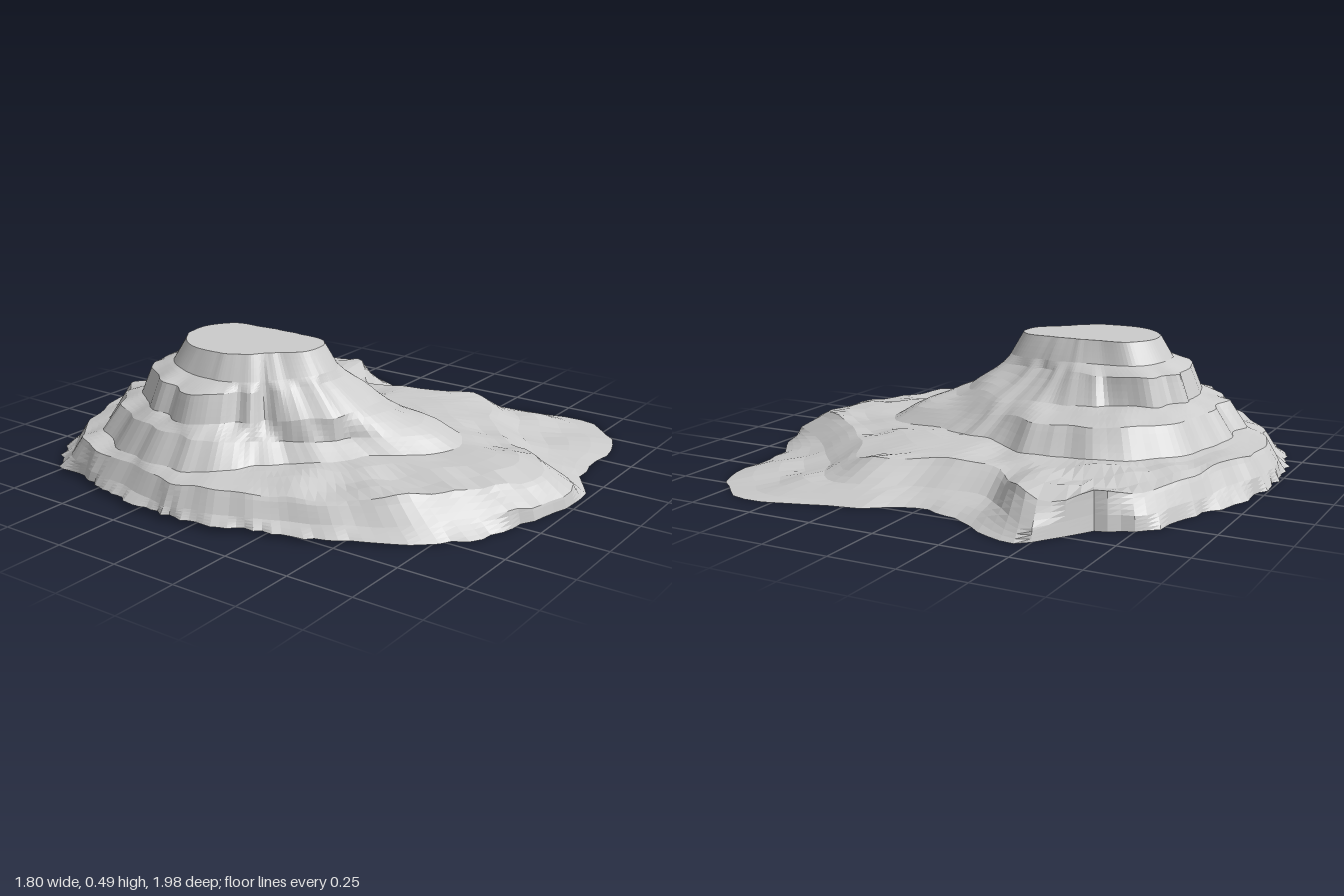
import * as THREE from 'three';

const { lerp, smoothstep } = THREE.MathUtils;
const CX = -0.27, CZ = -0.2; // axis of the hill
const SPOKES = 144, ROWS = 4;

// Edges from the ragged foot up to the summit rim: height, and distance from the
// axis at even angles from +x towards +z. "run" is how far the cliff below the
// edge reaches out, "lean" adds to it at the front left, "base" is the height
// where it starts, "south" a drop on that side and "west" a rise on that side.
const edges = [
  { y: 0, west: 0.02, jag: 0.013, radii: [1.03, 1.0, 1.19, 1.42, 1.42, 1.24, 1.24, 1.14, 1.08, 0.97, 0.83, 0.76, 0.68, 0.665,
    0.64, 0.625, 0.62, 0.63, 0.66, 0.74, 0.76, 0.77, 0.785, 0.795, 0.82, 0.86, 0.9, 1.01, 1.02, 1.17] },
  { y: 0.12, jag: 0.018, run: 0.045, lean: 0.08, base: 0.05, radii: [0.76, 0.8, 1.0, 0.92, 0.93, 1.1, 0.97, 0.85, 0.71, 0.63,
    0.59, 0.575, 0.56, 0.55, 0.585, 0.64, 0.68, 0.69, 0.715, 0.745, 0.765, 0.84, 0.97, 1.05] },
  { y: 0.24, jag: 0.025, run: 0.07, lean: 0.02, base: 0.14, south: 0.05,
    radii: [0.5, 0.46, 0.52, 0.7, 0.48, 0.37, 0.34, 0.41, 0.45, 0.46, 0.495, 0.525, 0.53, 0.55, 0.585, 0.555] },
  { y: 0.37, jag: 0.02, run: 0.04, lean: 0.1, base: 0.27,
    radii: [0.23, 0.25, 0.33, 0.33, 0.26, 0.28, 0.35, 0.36, 0.39, 0.41, 0.41, 0.3] },
  { y: 0.485, jag: 0.004, run: 0.05, lean: 0, base: 0.4,
    radii: [0.16, 0.18, 0.26, 0.26, 0.195, 0.2, 0.215, 0.235, 0.26, 0.28, 0.26, 0.18] },
];

// Smooth value noise on a hashed lattice, from -1 to 1
function hash(i, j) {
  const s = Math.sin(i * 127.1 + j * 311.7) * 43758.5453;
  return (s - Math.floor(s)) * 2 - 1;
}
function noise(x, z) {
  const i = Math.floor(x), j = Math.floor(z);
  const u = smoothstep(x - i, 0, 1), v = smoothstep(z - j, 0, 1);
  return lerp(lerp(hash(i, j), hash(i + 1, j), u), lerp(hash(i, j + 1), hash(i + 1, j + 1), u), v);
}

const angleOf = (s) => (s / SPOKES) * 2 * Math.PI;

// Radius and height of an edge at every spoke, with weathered gullies
function edgeLine({ y, jag, radii, south = 0, west = 0 }, k) {
  const ring = new THREE.CatmullRomCurve3(radii.map((r) => new THREE.Vector3(r, 0, 0)), true, 'catmullrom', 0.4);
  return Array.from({ length: SPOKES }, (_, s) => {
    const a = angleOf(s);
    const wear = k === 0 ? hash(s, 5) : noise(Math.cos(a) * 7 + k * 3.7, Math.sin(a) * 7);
    return {
      r: ring.getPoint(s / SPOKES).x + jag * wear,
      y: y - south * Math.max(0, Math.sin(a)) + west * Math.max(0, -Math.cos(a)),
    };
  });
}

// Every edge, preceded by the foot of its cliff, each kept inside the one below
function createLines() {
  const lines = [];
  const add = (line) => {
    const below = lines[lines.length - 1];
    lines.push(below ? line.map(({ r, y }, s) => ({ r: Math.min(r, below[s].r - 0.012), y })) : line);
  };
  edges.forEach((edge, k) => {
    const line = edgeLine(edge, k);
    if (edge.run) add(line.map(({ r }, s) => {
      const lean = edge.lean * Math.max(0, Math.cos(angleOf(s) - Math.PI / 4));
      return { r: r + edge.run + lean, y: edge.base };
    }));
    add(line);
  });
  return lines;
}

// Rows of points between the lines, bumpier where a slope is wide
function createRings(lines) {
  const rings = [];
  const last = lines.length - 1;
  for (let row = 0; row <= last * ROWS; row++) {
    const k = Math.min(Math.floor(row / ROWS), last - 1), f = row / ROWS - k;
    const fade = k === 0 ? f : k === last - 1 ? 1 - f : 1;
    rings.push(lines[k].map((low, s) => {
      const high = lines[k + 1][s], a = angleOf(s);
      const r = lerp(low.r, high.r, f);
      const x = CX + Math.cos(a) * r, z = CZ + Math.sin(a) * r;
      const bump = (0.006 + Math.min(0.25, low.r - high.r) * 0.05) * fade;
      return new THREE.Vector3(x, Math.max(0, lerp(low.y, high.y, f) + bump * noise(x * 8, z * 8)), z);
    }));
  }
  return rings;
}

// Skin between successive rings, open underneath
function loft(rings) {
  const index = [];
  for (let i = 0; i < rings.length - 1; i++)
    for (let s = 0; s < SPOKES; s++) {
      const a = i * SPOKES + s, b = i * SPOKES + (s + 1) % SPOKES;
      index.push(a, a + SPOKES, b, b, a + SPOKES, b + SPOKES);
    }
  const geometry = new THREE.BufferGeometry().setFromPoints(rings.flat());
  geometry.setIndex(index);
  geometry.computeVertexNormals();
  return geometry;
}

export function createModel() {
  const model = new THREE.Group();
  model.name = 'terracedHill';
  const material = new THREE.MeshStandardMaterial({ color: 0xcccccc, flatShading: true, side: THREE.DoubleSide });
  const addPart = (name, rings) => {
    const mesh = new THREE.Mesh(loft(rings), material);
    mesh.name = name;
    model.add(mesh);
  };

  const rings = createRings(createLines());

  // Low apron around the foot
  addPart('apron', rings.slice(0, ROWS + 1));

  // Rocky terraces, each a cliff and the ledge above it
  ['lowerTerrace', 'middleTerrace', 'upperTerrace'].forEach((name, i) => {
    const start = (1 + 2 * i) * ROWS;
    addPart(name, rings.slice(start, start + 2 * ROWS + 1));
  });
  addPart('summitCliff', rings.slice(7 * ROWS));

  // Flat summit closing the top rim
  const rim = rings[rings.length - 1];
  const centre = new THREE.Vector3(CX, rim[0].y, CZ);
  addPart('summit', [rim, rim.map(() => centre)]);
  return model;
}
